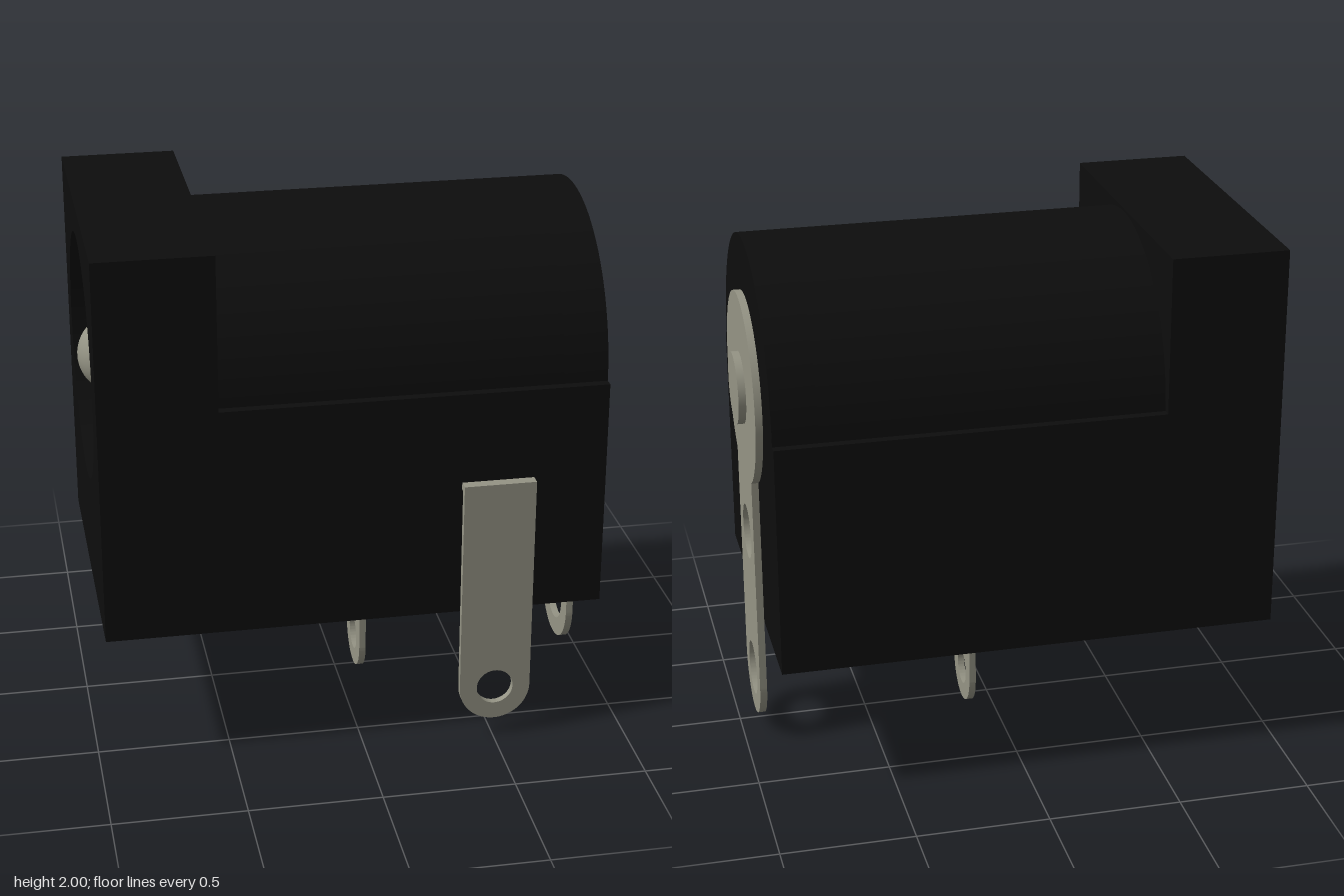
import * as THREE from 'three';
import { toCreasedNormals } from 'three/addons/utils/BufferGeometryUtils.js';

const CZ = -0.02;   // middle plane of the body
const AXIS = 1.415; // height of the barrel axis

export function createModel() {
  const black = new THREE.MeshStandardMaterial({ color: 0x0d0d0d });
  black.name = 'blackPlastic';
  const metal = new THREE.MeshStandardMaterial({ color: 0x959485 });
  metal.name = 'contactMetal';
  const group = new THREE.Group();
  group.name = 'barrelSocket';

  function add(name, geometry, material, x = 0, y = 0, z = 0) {
    const mesh = new THREE.Mesh(geometry, material);
    mesh.name = name;
    mesh.position.set(x, y, z);
    group.add(mesh);
    return mesh;
  }

  const circle = (y, r) => new THREE.Path().absarc(0, y, r, 0, Math.PI * 2, true);

  function extrude(shape, depth) {
    const g = new THREE.ExtrudeGeometry(shape, { depth, bevelEnabled: false, curveSegments: 48 });
    return toCreasedNormals(g, 0.6);
  }
  // Extrudes a profile (across, up) along x from x0 to x1
  const along = (shape, x0, x1) => extrude(shape, x1 - x0).rotateY(Math.PI / 2).translate(x0, 0, CZ);

  function block(top) {
    const s = new THREE.Shape();
    s.moveTo(-0.6125, 0.525);
    s.lineTo(0.6125, 0.525);
    s.lineTo(0.6125, top);
    return s;
  }

  // Tall mouth block with the plug opening
  const mouth = block(2);
  mouth.lineTo(-0.6125, 2);
  mouth.holes.push(circle(AXIS, 0.465));
  add('mouthBlock', along(mouth, -0.96, -0.525), black);

  // Round-topped barrel, hollow up to the closed rear wall
  const arch = () => {
    const s = block(1.41);
    s.lineTo(0.58, 1.41);
    s.absarc(0, 1.41, 0.578, 0, Math.PI, false);
    s.lineTo(-0.6125, 1.41);
    return s;
  };
  const hollow = arch();
  hollow.holes.push(circle(AXIS, 0.465));
  add('barrel', along(hollow, -0.525, 0.75), black);
  add('rearWall', along(arch(), 0.75, 0.915), black);

  // Centre pin with domed tip
  const pin = [new THREE.Vector2(0.15, 0)];
  for (let i = 0; i <= 12; i++) {
    const a = (i / 12) * Math.PI / 2;
    pin.push(new THREE.Vector2(0.15 * Math.cos(a), 1.575 + 0.15 * Math.sin(a)));
  }
  add('centrePin', new THREE.LatheGeometry(pin, 40).rotateZ(Math.PI / 2), metal, 0.75, AXIS, CZ);

  // Strap with a rounded foot and an eyelet
  function strap(halfWidth, footY, topY, eyeR) {
    const s = new THREE.Shape();
    s.moveTo(halfWidth, topY);
    s.lineTo(-halfWidth, topY);
    s.lineTo(-halfWidth, footY);
    s.absarc(0, footY, halfWidth, Math.PI, Math.PI * 2, false);
    s.holes.push(circle(footY, eyeR));
    return s;
  }

  // Rear terminal: round head on a strap with two holes
  const rear = new THREE.Shape();
  const neck = Math.asin(0.18 / 0.362);
  rear.absarc(0, AXIS, 0.362, -Math.PI / 2 + neck, Math.PI * 1.5 - neck, false);
  rear.lineTo(-0.18, 0.24);
  rear.absarc(0, 0.24, 0.18, Math.PI, Math.PI * 2, false);
  rear.holes.push(circle(0.825, 0.105), circle(0.237, 0.105));
  add('rearTerminal', along(rear, 0.915, 0.942), metal);
  add('rivet', new THREE.CylinderGeometry(0.136, 0.136, 0.03, 40).rotateZ(Math.PI / 2), metal, 0.955, AXIS, CZ);

  // Side terminal: strap standing off the wall, bent inward at its top
  add('sideTerminal', extrude(strap(0.136, 0.21, 1.06, 0.07), 0.027), metal, 0.505, 0, 0.608);
  add('sideTerminalBend', new THREE.BoxGeometry(0.272, 0.027, 0.06), metal, 0.505, 1.046, 0.592);

  // Bottom terminal, continuing inside as a spring along the barrel floor
  add('bottomTerminal', along(strap(0.135, 0.138, 0.98, 0.07), 0.08, 0.106), metal);
  add('springContact', new THREE.BoxGeometry(0.79, 0.026, 0.27), metal, -0.289, 0.975, CZ);

  return group;
}
